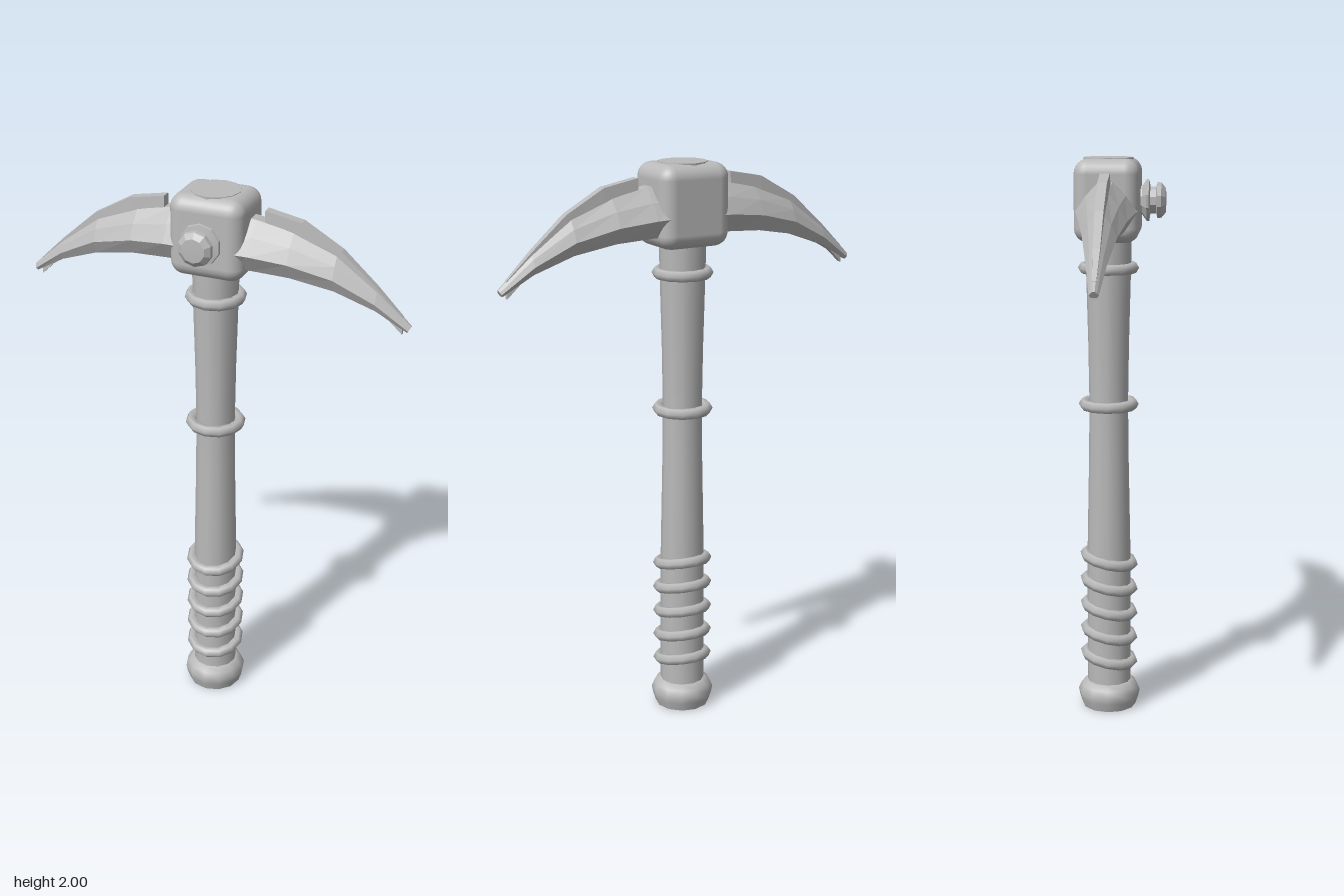
import * as THREE from 'three';
import { RoundedBoxGeometry } from 'three/addons/geometries/RoundedBoxGeometry.js';
import { toCreasedNormals } from 'three/addons/utils/BufferGeometryUtils.js';

const AXIS_Z = -0.042; // the shaft sits slightly behind the centre

// Skin closed [x, y, z] rings running along +x; each ring goes top, front, bottom, back.
function loft(rings) {
  const n = rings[0].length, last = (rings.length - 1) * n;
  const index = [];
  for (let i = 0; i < rings.length - 1; i++) {
    for (let j = 0; j < n; j++) {
      const a = i * n + j, b = i * n + (j + 1) % n;
      index.push(a, b, a + n, b, b + n, a + n);
    }
  }
  for (let j = 1; j < n - 1; j++) {
    index.push(0, j + 1, j, last, last + j, last + j + 1);
  }
  const g = new THREE.BufferGeometry();
  g.setAttribute('position', new THREE.Float32BufferAttribute(rings.flat(2), 3));
  g.setIndex(index);
  const flat = g.toNonIndexed();
  flat.computeVertexNormals();
  return flat;
}

function lathe(points, sides, crease = 0.7) {
  const g = new THREE.LatheGeometry(points.map(([r, y]) => new THREE.Vector2(r, y)), sides);
  return toCreasedNormals(g, crease);
}

export function createModel() {
  const model = new THREE.Group();
  model.name = 'pickaxe';
  const grey = new THREE.MeshStandardMaterial({ color: 0xbababa });
  grey.name = 'plain grey';

  const add = (name, geometry, x = 0, y = 0, z = AXIS_Z) => {
    const mesh = new THREE.Mesh(geometry, grey);
    mesh.name = name;
    mesh.position.set(x, y, z);
    model.add(mesh);
    return mesh;
  };

  // Shaft, gently waisted, showing through the top of the head
  add('shaft', lathe([
    [0.08, 0.07], [0.079, 0.3], [0.078, 0.6], [0.071, 0.95], [0.069, 1.14],
    [0.072, 1.35], [0.079, 1.62], [0.082, 1.75], [0.086, 2.0], [0, 2.0],
  ], 12));

  // Rounded pommel
  add('pommel', lathe([
    [0, 0], [0.098, 0], [0.108, 0.03], [0.113, 0.055], [0.103, 0.08], [0.085, 0.096], [0.07, 0.098],
  ], 12, 0.9));

  // Level collars and tilted grip rings
  const ring = new THREE.TorusGeometry(0.087, 0.02, 6, 12).rotateX(Math.PI / 2);
  for (const y of [1.62, 1.135]) add('collar', ring, 0, y);
  for (let i = 0; i < 5; i++) add('gripRing', ring, 0, 0.185 + i * 0.094).rotation.x = 0.22;

  // Head block
  add('headBlock', new RoundedBoxGeometry(0.266, 0.284, 0.226, 3, 0.05), 0, 1.856);

  // Curved double blade: x, top, bottom, width factor
  const half = [
    [0.07, 1.93, 1.76, 1], [0.15, 1.922, 1.757, 0.89], [0.28, 1.895, 1.748, 0.71],
    [0.43, 1.84, 1.72, 0.5], [0.57, 1.738, 1.668, 0.3], [0.69, 1.626, 1.605, 0.14],
  ];
  const stations = [...half.map(([x, ...r]) => [-x, ...r]).reverse(), ...half];
  const outline = [[0.025, 1], [0.075, 0.72], [0.113, 0.38], [0.07, 0]]; // half width, height
  const section = [...outline, ...outline.map(([z, h]) => [-z, h]).reverse()];
  add('blade', loft(stations.map(([x, top, bottom, w]) => section.map(([z, h]) => {
    // the tip is cut square to the curve
    const tip = Math.abs(x) > 0.6 ? Math.sign(x) * (h - 1) * 0.012 : 0;
    return [x + tip, bottom + (top - bottom) * h, z * w];
  }))));

  // Raised rib along the top of each blade
  const rib = loft([
    [0.18, 1.955, 0.021], [0.307, 1.931, 0.02], [0.445, 1.853, 0.018],
    [0.567, 1.745, 0.015], [0.66, 1.655, 0.008],
  ].map(([x, y, w]) => [
    [x, y, w * 0.8], [x, y - 0.06, w], [x, y - 0.06, -w], [x, y, -w * 0.8],
  ]));
  for (const turn of [0, Math.PI]) add('bladeRib', rib).rotation.y = turn;

  // Faceted stud on the front of the head
  const stud = lathe([
    [0, 0.06], [0.045, 0.06], [0.05, 0.076], [0.073, 0.092], [0.071, 0.1], [0.046, 0.104],
    [0.046, 0.124], [0.062, 0.128], [0.06, 0.142], [0.042, 0.157], [0, 0.159],
  ], 10, 0.3).rotateX(Math.PI / 2);
  add('stud', stud, 0, 1.854, 0);

  return model;
}
